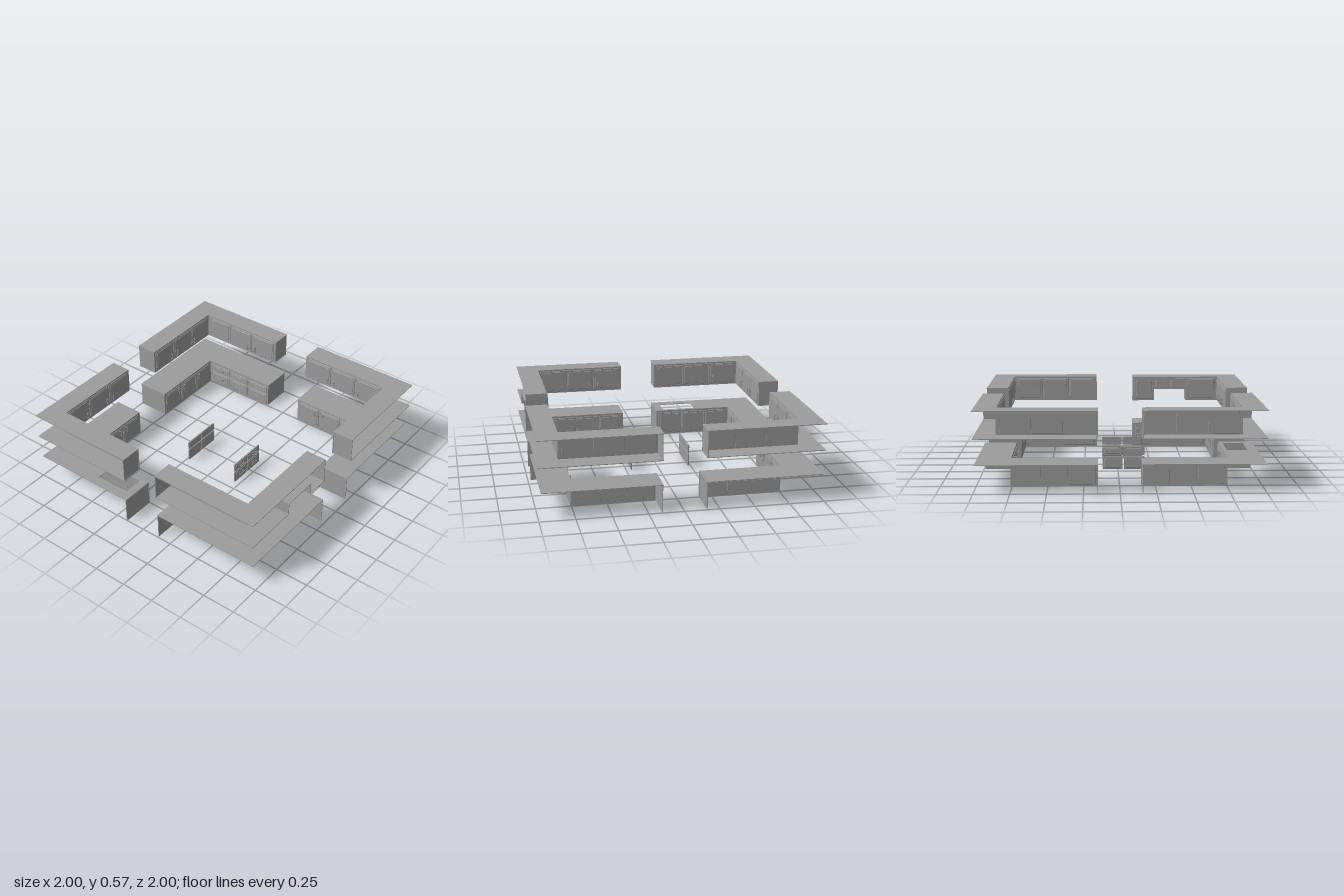
import * as THREE from 'three';

const material = new THREE.MeshStandardMaterial({ color: 0x9c9c9c, side: THREE.DoubleSide });
const T = 0.005; // sheet thickness
const LOW = [0, 0.2], HIGH = [0.375, 0.57];

function add(parent, name, geometry, x = 0, y = 0, z = 0) {
  const mesh = new THREE.Mesh(geometry, material);
  mesh.name = name;
  mesh.position.set(x, y, z);
  parent.add(mesh);
}

// box given by opposite corners, in any order
function block(parent, name, [x0, x1], [y0, y1], [z0, z1]) {
  add(parent, name, new THREE.BoxGeometry(Math.abs(x1 - x0), Math.abs(y1 - y0), Math.abs(z1 - z0)),
    (x0 + x1) / 2, (y0 + y1) / 2, (z0 + z1) / 2);
}

// flat plate from [x, z] corners, optionally with a rectangular hole
function plate(parent, name, points, top, hole) {
  const toVectors = (pts) => pts.map(([x, z]) => new THREE.Vector2(x, -z));
  const shape = new THREE.Shape(toVectors(points));
  if (hole) shape.holes.push(new THREE.Path(toVectors(hole)));
  const geometry = new THREE.ExtrudeGeometry(shape, { depth: T, bevelEnabled: false });
  geometry.rotateX(-Math.PI / 2);
  add(parent, name, geometry, 0, top - T, 0);
}

// rectangle with cut corners, raised towards +z with a small bevel
function raisedPanel(w, h, cut, depth) {
  const b = 0.002, x = w / 2 - b, y = h / 2 - b;
  const shape = new THREE.Shape([
    [-x + cut, -y], [x - cut, -y], [x, -y + cut], [x, y - cut],
    [x - cut, y], [-x + cut, y], [-x, y - cut], [-x, -y + cut],
  ].map(([px, py]) => new THREE.Vector2(px, py)));
  return new THREE.ExtrudeGeometry(shape, {
    depth: depth - b, bevelThickness: b, bevelSize: b, bevelSegments: 1,
  });
}

// pull: back plate, two posts and a bar, lying along x
function createHandle(length) {
  const handle = new THREE.Group();
  handle.name = 'handle';
  add(handle, 'handlePlate', new THREE.BoxGeometry(length, 0.016, 0.002), 0, 0, 0.003);
  for (const s of [-1, 1]) {
    add(handle, 'handlePost', new THREE.BoxGeometry(0.005, 0.006, 0.01), s * length * 0.38, 0, 0.007);
  }
  add(handle, 'handleBar', new THREE.BoxGeometry(length * 0.9, 0.008, 0.004), 0, 0, 0.013);
  return handle;
}

// door or drawer front facing +z, set through the face panel; pull is 'center' or [side, end]
function createFront(name, w, h, pull) {
  const front = new THREE.Group();
  front.name = name;
  add(front, name + 'Slab', raisedPanel(w, h, 0.002, 0.009), 0, 0, -0.004);
  add(front, name + 'Panel', raisedPanel(w - 0.024, h - 0.024, 0.01, 0.003), 0, 0, 0.005);
  const handle = createHandle(pull === 'center' ? 0.06 : Math.min(0.05, h * 0.5));
  handle.position.z = 0.006;
  if (pull !== 'center') {
    handle.rotation.z = Math.PI / 2;
    handle.position.set(pull[0] * (w / 2 - 0.032), pull[1] * (h / 2 - 0.042), 0.006);
  }
  front.add(handle);
  return front;
}

// place a front on a face whose outward direction is dir: '+x', '-x', '+z' or '-z'
const TURN = { '+z': 0, '-z': Math.PI, '+x': Math.PI / 2, '-x': -Math.PI / 2 };
function place(parent, name, dir, face, [a, b], [y0, y1], hand, end) {
  const alongX = dir[1] === 'z';
  // local +x runs along world +x on '+z' faces and along world +z on '-x' faces
  const flip = dir === '+z' || dir === '-x' ? 1 : -1;
  const pull = hand ? [hand * flip, end] : 'center';
  const front = createFront(name, Math.abs(b - a), y1 - y0, pull);
  const mid = (a + b) / 2;
  front.position.set(alongX ? mid : face, (y0 + y1) / 2, alongX ? face : mid);
  front.rotation.y = TURN[dir];
  parent.add(front);
}

// two drawers, one above the other
function drawerStack(parent, dir, face, span) {
  place(parent, 'drawer', dir, face, span, [0.012, 0.108]);
  place(parent, 'drawer', dir, face, span, [0.115, 0.178]);
}

// row of doors between two positions; hands gives each door's handle side (1 = outer end)
function doorRow(parent, dir, face, sign, [a, b], count, y, hands, end) {
  const step = (b - a) / count;
  for (let i = 0; i < count; i++) {
    const span = [sign * (a + i * step + 0.003), sign * (a + (i + 1) * step - 0.003)];
    place(parent, 'door', dir, face, span, y, hands[i] * sign, end);
  }
}

// L-shaped, open-backed cabinet: plates, face panels and end panels
function createCarcass(name, c, level, [fx, fz], [x1, z1], { base, gap, hole }) {
  const { sx, sz, x0, z0 } = c;
  const X = (a, b) => [sx * a, sx * b], Z = (a, b) => [sz * a, sz * b];
  const g = new THREE.Group();
  g.name = name;
  const [y0, y1] = level;
  const outline = (zEnd) => [
    [x0, fz], [x0, z1], [x1, z1], [x1, zEnd], [fx, zEnd], [fx, fz],
  ].map(([x, z]) => [sx * x, sz * z]);
  plate(g, 'topPlate', outline(z0), y1, hole);
  const body = [y0, y1 - T];
  block(g, 'facePanel', X(x0, fx), body, Z(fz, fz + T));
  block(g, 'endPanel', X(x0 + 0.004, x0 + 0.004 + T), body, Z(fz, z1));
  block(g, 'endPanel', X(fx, x1), body, Z(z0 + 0.004, z0 + 0.004 + T));
  if (!gap) {
    block(g, 'facePanel', X(fx, fx + T), body, Z(z0, fz));
    if (base) plate(g, 'bottomPlate', outline(z0), y0 + T);
  } else {
    // shortened middle section with a clear space beneath
    const [ga, gb, gy] = gap;
    block(g, 'facePanel', X(fx, fx + T), body, Z(z0, ga));
    block(g, 'facePanel', X(fx, fx + T), [gy, y1 - T], Z(ga, gb));
    block(g, 'facePanel', X(fx, fx + T), body, Z(gb, fz));
    plate(g, 'bottomPlate', outline(gb), y0 + T);
    block(g, 'bottomPlate', X(fx, x1), [y0, y0 + T], Z(z0, ga));
    block(g, 'raisedBottom', X(fx, x1), [gy, gy + T], Z(ga, gb));
    for (const z of [ga - T, gb]) block(g, 'gapSide', X(fx, x1), [y0, gy], Z(z, z + T));
  }
  return g;
}

// the four corners, measured outward from the middle of the room;
// low and high are the face positions, lowBack and highBack the outer edges
const CORNERS = [
  { name: 'backRightCorner', sx: -1, sz: -1, x0: 0.155, z0: 0.15,
    low: [0.75, 0.755], high: [0.84, 0.845], lowBack: [0.995, 0.99], highBack: [1, 1],
    drawersOnX: true },
  { name: 'backLeftCorner', sx: 1, sz: -1, x0: 0.145, z0: 0.155,
    low: [0.75, 0.745], high: [0.84, 0.835], lowBack: [0.98, 0.99], highBack: [1, 1] },
  { name: 'frontLeftCorner', sx: 1, sz: 1, x0: 0.13, z0: 0.14,
    low: [0.725, 0.75], high: [0.81, 0.84], lowBack: [0.97, 0.99], highBack: [0.97, 1],
    gap: [0.32, 0.58, 0.467] },
  { name: 'frontRightCorner', sx: -1, sz: 1, x0: 0.148, z0: 0.15,
    low: [0.755, 0.75], high: [0.845, 0.84], lowBack: [0.98, 1], highBack: [1, 1],
    hole: [[-0.475, 0.78], [-0.21, 0.78], [-0.21, 0.93], [-0.475, 0.93]] },
];

function createCorner(c) {
  const group = new THREE.Group();
  group.name = c.name;
  const { sx, sz, x0, z0 } = c;
  const dirX = sx < 0 ? '+x' : '-x', dirZ = sz < 0 ? '+z' : '-z';
  const lowY = [0.012, 0.185], highY = [0.387, 0.558];

  // base cabinet with its worktop
  const [lx, lz] = c.low;
  const low = createCarcass('baseCabinet', c, LOW, c.low, c.lowBack, { hole: c.hole });
  if (c.drawersOnX) {
    for (let i = 0; i < 3; i++) {
      drawerStack(low, dirZ, sz * lz, [sx * (0.17 + i * 0.19), sx * (0.35 + i * 0.19)]);
    }
  } else doorRow(low, dirZ, sz * lz, sx, [x0 + 0.015, lx - 0.015], 3, lowY, [1, -1, -1], 1);
  if (c.gap) {
    drawerStack(low, dirX, sx * lx, [0.16, 0.3]);
    drawerStack(low, dirX, sx * lx, [0.585, 0.725]);
  } else doorRow(low, dirX, sx * lx, sz, [z0 + 0.015, lz - 0.015], 3, lowY, [1, -1, -1], 1);
  group.add(low);

  // wall cabinet
  const [hx, hz] = c.high;
  const high = createCarcass('wallCabinet', c, HIGH, c.high, c.highBack, { base: true, gap: c.gap });
  doorRow(high, dirZ, sz * hz, sx, [x0 + 0.015, hx - 0.015], 3, highY, [1, -1, -1], -1);
  if (c.gap) {
    doorRow(high, dirX, sx * hx, sz, [z0 + 0.015, 0.315], 1, highY, [1], -1);
    doorRow(high, dirX, sx * hx, sz, [0.325, 0.575], 2, [0.477, 0.558], [1, -1], -1);
    doorRow(high, dirX, sx * hx, sz, [0.585, hz - 0.015], 1, highY, [-1], -1);
  } else doorRow(high, dirX, sx * hx, sz, [z0 + 0.015, hz - 0.015], 3, highY, [1, -1, -1], -1);
  group.add(high);
  return group;
}

export function createModel() {
  const model = new THREE.Group();
  model.name = 'kitchenCabinets';
  for (const corner of CORNERS) model.add(createCorner(corner));

  // two free-standing sets of drawer fronts in the middle
  for (const [dir, face] of [['+x', 0.215], ['-x', -0.225]]) {
    const set = new THREE.Group();
    set.name = 'middleDrawers';
    drawerStack(set, dir, face, [-0.115, 0.035]);
    drawerStack(set, dir, face, [0.043, 0.195]);
    model.add(set);
  }
  return model;
}
